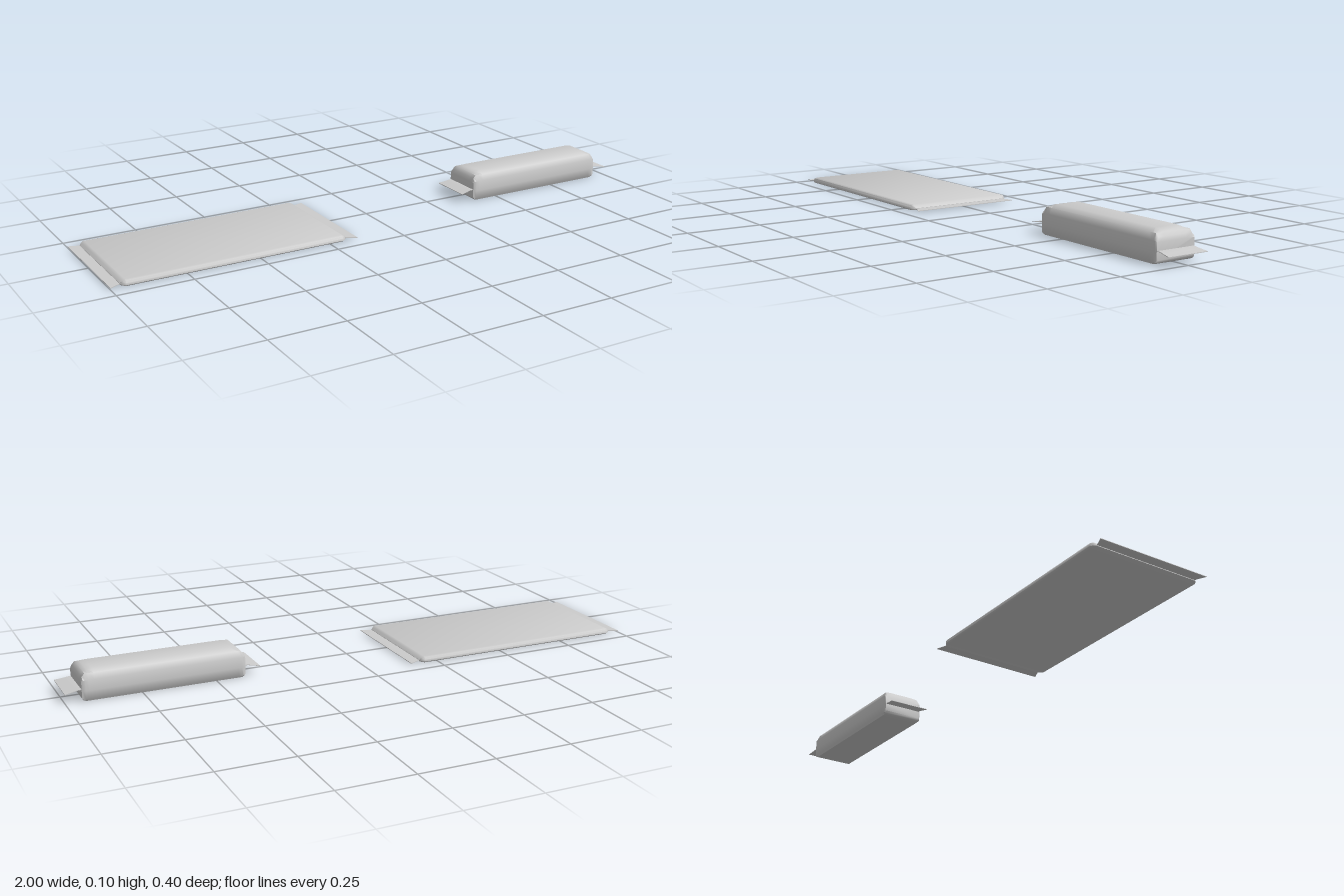
import * as THREE from 'three';
import { toCreasedNormals } from 'three/addons/utils/BufferGeometryUtils.js';

const material = new THREE.MeshStandardMaterial({ color: 0xcccccc, side: THREE.DoubleSide });

// Skin closed (z, y) cross-sections placed along x, with capped ends
function loft(sections, crease) {
  const n = sections[0].points.length;
  const pos = [], idx = [];
  for (const { x, points } of sections) for (const [z, y] of points) pos.push(x, y, z);
  for (let s = 0; s < sections.length - 1; s++) {
    for (let i = 0; i < n; i++) {
      const a = s * n + i, b = s * n + (i + 1) % n;
      idx.push(a, a + n, b, b, a + n, b + n);
    }
  }
  const last = (sections.length - 1) * n;
  for (let i = 1; i < n - 1; i++) {
    idx.push(0, i, i + 1, last, last + i + 1, last + i);
  }
  const g = new THREE.BufferGeometry();
  g.setAttribute('position', new THREE.Float32BufferAttribute(pos, 3));
  g.setIndex(idx);
  return toCreasedNormals(g, crease);
}

// Closed profile from its +z half (listed bottom to top), wound from +z over the top to -z
function mirrored(half) {
  return [...half, ...half.map(([z, y]) => [-z, y]).reverse()];
}

function makePacket({ name, half, bodyEnds, flapEnds, stations, flap }) {
  const packet = new THREE.Group();
  packet.name = name;
  const [x0, x1] = bodyEnds;

  // Filled body: the profile is squeezed between a lower and upper limit near each end
  const section = (x, [, low, high, width]) => ({
    x,
    points: mirrored(half).map(([z, y]) => [z * width, THREE.MathUtils.clamp(y, low, high)]),
  });
  const body = new THREE.Mesh(loft([
    ...stations.map((s) => section(x0 + s[0], s)),
    ...[...stations].reverse().map((s) => section(x1 - s[0], s)),
  ], 0.75), material);
  body.name = 'wrapperBody';
  packet.add(body);

  // Flat sealed flaps flaring outwards at both ends
  [[x0, flapEnds[0], 'rightEndFlap'], [x1, flapEnds[1], 'leftEndFlap']].forEach(([inner, outer, label]) => {
    const t = flap.thickness / 2;
    const sections = flap.rows.map(([f, y, w]) => ({
      x: THREE.MathUtils.lerp(inner, outer, f),
      points: mirrored([[w, y - t], [w, y + t]]),
    }));
    if (outer < inner) sections.reverse();
    const mesh = new THREE.Mesh(loft(sections, 0.6), material);
    mesh.name = label;
    packet.add(mesh);
  });
  return packet;
}

export function createModel() {
  const model = new THREE.Group();
  model.name = 'wrappedBars';

  // Wide flat packet
  model.add(makePacket({
    name: 'flatPacket',
    half: [[0.195, 0], [0.2, 0.004], [0.199, 0.011], [0.195, 0.017], [0.186, 0.02]],
    bodyEnds: [-0.965, -0.187],
    flapEnds: [-1, -0.15],
    // [distance from end, lowest y, highest y, width factor]
    stations: [[0, 0.003, 0.008, 0.93], [0.007, 0.001, 0.015, 0.97], [0.016, 0, 0.02, 1]],
    flap: { thickness: 0.002, rows: [[-0.2, 0.006, 0.183], [0.3, 0.006, 0.189], [1, 0.005, 0.2]] },
  }));

  // Narrow tall packet
  model.add(makePacket({
    name: 'tallPacket',
    half: [[0.07, 0], [0.075, 0.006], [0.075, 0.035], [0.075, 0.07], [0.065, 0.09], [0.041, 0.1]],
    bodyEnds: [0.4, 0.946],
    flapEnds: [0.35, 1],
    stations: [[0, 0.012, 0.066, 0.96], [0.004, 0.004, 0.08, 0.99], [0.013, 0, 0.091, 1],
      [0.024, 0, 0.097, 1], [0.042, 0, 0.1, 1]],
    flap: { thickness: 0.002, rows: [[-0.1, 0.04, 0.07], [0.2, 0.039, 0.069], [0.5, 0.036, 0.071], [1, 0.032, 0.075]] },
  }));
  return model;
}
